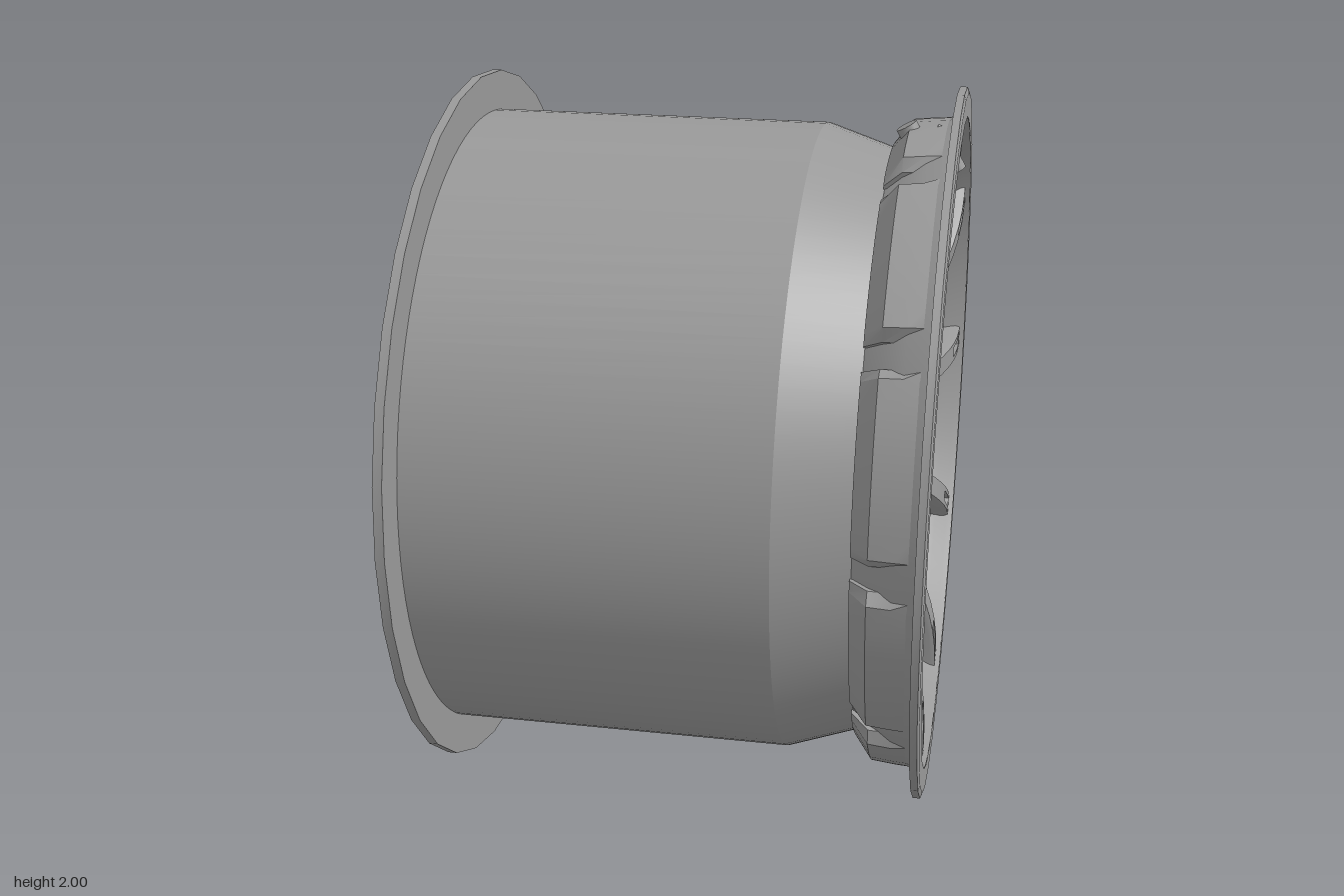
import * as THREE from 'three';
import { toCreasedNormals } from 'three/addons/utils/BufferGeometryUtils.js';

const metal = new THREE.MeshStandardMaterial({ color: 0x999999 });

function add(parent, name, geometry, crease = 0.6) {
  const mesh = new THREE.Mesh(toCreasedNormals(geometry, crease), metal);
  mesh.name = name;
  parent.add(mesh);
  return mesh;
}

// Profile of [radius, depth] pairs turned around the wheel axis (local z)
function turned(profile, segments) {
  const points = profile.map(([r, z]) => new THREE.Vector2(r, z));
  return new THREE.LatheGeometry(points, segments).rotateX(Math.PI / 2);
}

// Skin over a row of closed cross-sections, capped at both ends
function loft(rings) {
  const n = rings[0].length, last = (rings.length - 1) * n, index = [];
  for (let i = 0; i < rings.length - 1; i++) {
    for (let j = 0; j < n; j++) {
      const a = i * n + j, b = i * n + (j + 1) % n;
      index.push(a, b, b + n, a, b + n, a + n);
    }
  }
  for (let j = 1; j < n - 1; j++) index.push(0, j + 1, j, last, last + j, last + j + 1);
  const geometry = new THREE.BufferGeometry();
  geometry.setAttribute('position', new THREE.Float32BufferAttribute(rings.flat(2), 3));
  geometry.setIndex(index);
  return geometry;
}

// Dished face: low at the hub, levelling out at the rim
const faceZ = (r) => 0.42 + 0.24 * Math.sin(Math.PI / 2 * Math.min(1, (r - 0.15) / 0.73));

// Bevelled bar section with a pocket of depth d in its face
const barSection = (w, flare, z, bottom, d) => [
  [-w - flare, bottom], [w + flare, bottom],
  [w + 0.008, z - 0.014], [w, z], [0.016, z], [0.016, z - d],
  [-0.016, z - d], [-0.016, z], [-w, z], [-w - 0.008, z - 0.014],
];

// One branch of a split arm; side is -1 or 1, the arm points along +y
function spokeGeometry(side) {
  const a = Math.PI / 10;
  const start = new THREE.Vector2(side * 0.048, 0.17);
  const end = new THREE.Vector2(side * Math.sin(a) * 0.905, Math.cos(a) * 0.905);
  const dir = end.clone().sub(start).normalize();
  const stations = [0, 0.08, 0.16, 0.24, 0.32, 0.4, 0.5, 0.6, 0.7, 0.79, 0.8, 0.88, 0.955, 0.96, 1];
  return loft(stations.map((t) => {
    const p = start.clone().lerp(end, t);
    const r = p.length(), z = faceZ(r);
    const pocket = t > 0.795 && t < 0.957 ? 0.025 : 0;
    const bottom = Math.max(z - 0.15, 0.5 + (r - 0.82) * 1.4); // follows the lip at the tip
    return barSection(0.03 + 0.004 * t ** 6, 0.014, z, bottom, pocket)
      .map(([s, h]) => [p.x - dir.y * s, p.y + dir.x * s, h]);
  }));
}

// Web between two branches, with a slot in its face and a hollowed, sloping outer end
function webGeometry() {
  const stations = [-1, -0.8, -0.6, -0.37, -0.33, -0.12, 0.12, 0.33, 0.37, 0.6, 0.8, 1];
  return loft(stations.map((f) => {
    const curve = 0.11 * f * f;
    const at = (r, drop) => [f * (0.045 + 0.29 * (r - 0.12)), r, faceZ(r) - drop];
    const slot = Math.abs(f) < 0.35 ? 0.034 : 0.004;
    return [
      at(0.12, 0.15), at(0.25, 0.15), at(0.37, 0.15), at(0.485 + curve, 0.15),
      at(0.435 + curve, 0.05), at(0.41 + curve, 0.004), at(0.388, 0.004), at(0.382, slot),
      at(0.325, slot), at(0.268, slot), at(0.262, 0.004), at(0.2, 0.004), at(0.12, 0.004),
    ];
  }));
}

// Raised block on the outside of the front rim, between two spoke ends
function rimBlockGeometry() {
  const half = 15.8;
  const angles = [-half, -half + 1.8, -9, -4.5, 0, 4.5, 9, half - 1.8, half];
  return loft(angles.map((deg) => {
    const h = Math.abs(deg) === half ? 0.4 : 1; // ends slope down into the notches
    const a = THREE.MathUtils.degToRad(deg);
    const section = [[0.825, 0.482], [0.905, 0.652], [0.918, 0.652],
      [0.86 + 0.054 * h, 0.59], [0.86 + 0.048 * h, 0.53], [0.83 + 0.015 * h, 0.482]];
    return section.map(([r, z]) => [Math.cos(a) * r, Math.sin(a) * r, z]);
  }));
}

// Cylinder between two points
function rod(from, to, r0, r1, sides) {
  const a = new THREE.Vector3(...from), b = new THREE.Vector3(...to);
  const axis = b.clone().sub(a);
  const geometry = new THREE.CylinderGeometry(r1, r0, axis.length(), sides);
  geometry.applyQuaternion(new THREE.Quaternion().setFromUnitVectors(
    new THREE.Vector3(0, 1, 0), axis.normalize()));
  const mid = a.add(b).multiplyScalar(0.5);
  return geometry.translate(mid.x, mid.y, mid.z);
}

export function createModel() {
  const model = new THREE.Group();
  model.name = 'wheel';
  const wheel = new THREE.Group();
  wheel.name = 'wheelAssembly';
  wheel.rotation.y = Math.PI / 2; // local z becomes the axle direction, +x
  wheel.position.y = 1;
  model.add(wheel);

  // Barrel and flanges
  add(wheel, 'barrel', turned([[0.88, -0.675], [0.89, -0.675], [0.89, 0.29], [0.825, 0.485],
    [0.815, 0.485], [0.878, 0.29], [0.88, -0.675]], 96), 0.25);
  add(wheel, 'rearFlange', turned([[0.886, -0.68], [1, -0.68], [1, -0.655], [0.886, -0.655],
    [0.886, -0.68]], 32), 0.4);
  add(wheel, 'frontFlange', turned([[0.92, 0.65], [1, 0.65], [1, 0.67], [0.985, 0.675],
    [0.92, 0.675], [0.92, 0.65]], 32), 0.3);
  add(wheel, 'frontLip', turned([[0.82, 0.48], [0.865, 0.53], [0.9, 0.59], [0.925, 0.65],
    [0.96, 0.652], [0.96, 0.674], [0.915, 0.674], [0.902, 0.655], [0.875, 0.62],
    [0.835, 0.56], [0.82, 0.48]], 80), 0.5);
  for (let i = 0; i < 10; i++) {
    add(wheel, 'rimBlock', rimBlockGeometry(), 0.5).rotation.z = (i + 0.5) * Math.PI / 5;
  }

  // Five split arms
  for (let i = 0; i < 5; i++) {
    const arm = new THREE.Group();
    arm.name = 'arm';
    arm.rotation.z = i * Math.PI * 2 / 5;
    add(arm, 'leftSpoke', spokeGeometry(-1), 0.5);
    add(arm, 'rightSpoke', spokeGeometry(1), 0.5);
    add(arm, 'armWeb', webGeometry(), 0.5);
    add(arm, 'drivePin', rod([0, 0.225, 0.4], [0, 0.225, 0.468], 0.018, 0.018, 12));
    wheel.add(arm);
  }

  // Hub, locking nut and domed centre cap
  add(wheel, 'hub', turned([[0, 0.2], [0.27, 0.2], [0.295, 0.22], [0.295, 0.33], [0.275, 0.355],
    [0.215, 0.37], [0.19, 0.415], [0.175, 0.43], [0, 0.43]], 48), 0.5);
  add(wheel, 'nutRing', turned([[0.11, 0.41], [0.165, 0.41], [0.165, 0.448], [0.155, 0.46],
    [0.145, 0.46], [0.14, 0.44], [0.11, 0.44], [0.11, 0.41]], 40), 0.5);
  for (let i = 0; i < 12; i++) {
    const tooth = add(wheel, 'nutTooth',
      new THREE.BoxGeometry(0.035, 0.022, 0.04).translate(0.13, 0, 0.445));
    tooth.rotation.z = i * Math.PI / 6;
  }
  add(wheel, 'centreCap', turned([[0.115, 0.42], [0.115, 0.455], [0.103, 0.465], [0.1, 0.52],
    [0.09, 0.57], [0.075, 0.595], [0.045, 0.607], [0, 0.607]], 32), 0.6);

  // Valve through the rim at the top
  const valve = new THREE.Group();
  valve.name = 'valve';
  add(valve, 'valveBase', rod([0, 0.913, 0.52], [0, 0.86, 0.55], 0.03, 0.03, 16));
  add(valve, 'valveNut', rod([0, 0.893, 0.59], [0, 0.865, 0.635], 0.032, 0.032, 6), 0.3);
  add(valve, 'valveStem', rod([0, 0.875, 0.61], [0, 0.8, 0.665], 0.02, 0.018, 12));
  add(valve, 'valveCap', rod([0, 0.83, 0.643], [0, 0.797, 0.667], 0.024, 0.02, 12));
  wheel.add(valve);

  return model;
}
